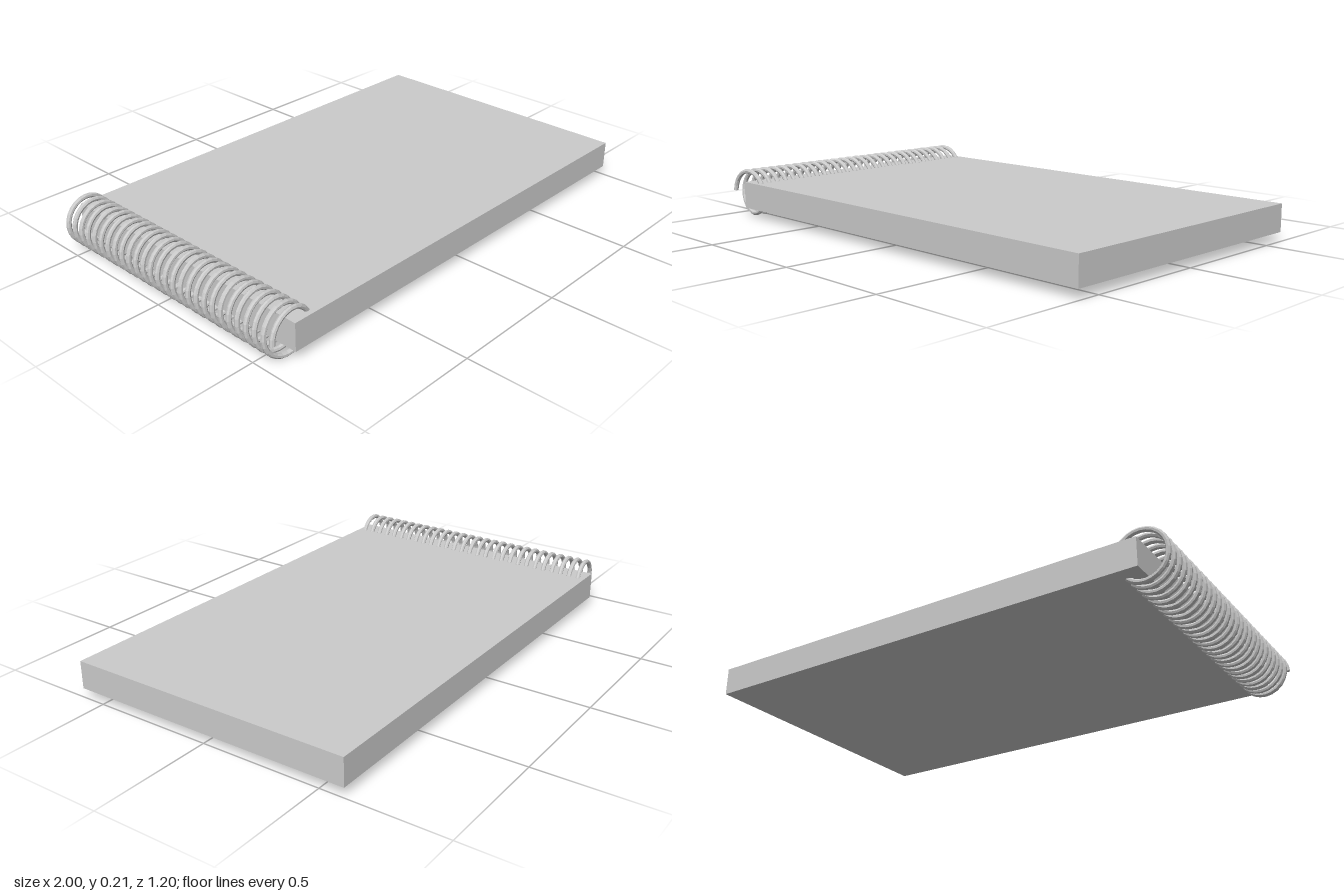
import * as THREE from 'three';

const COIL_X = -0.897, COIL_Y = 0.105, COIL_R = 0.093, WIRE_R = 0.01;
const TURNS = 27.5, Z_START = 0.588, Z_END = -0.572;

// Helix along z: starts on the outer side, passes over the top, ends on the page side
class Helix extends THREE.Curve {
  getPoint(t, target = new THREE.Vector3()) {
    const a = Math.PI - t * TURNS * Math.PI * 2;
    return target.set(
      COIL_X + COIL_R * Math.cos(a),
      COIL_Y + COIL_R * Math.sin(a),
      THREE.MathUtils.lerp(Z_START, Z_END, t)
    );
  }
}

export function createModel() {
  const group = new THREE.Group();
  group.name = 'spiralNotebook';
  const paper = new THREE.MeshStandardMaterial({ color: 0xcccccc });
  const wire = new THREE.MeshStandardMaterial({ color: 0xcccccc, flatShading: true });

  // Block of pages
  const pages = new THREE.Mesh(new THREE.BoxGeometry(1.898, 0.113, 1.2), paper);
  pages.name = 'pageBlock';
  pages.position.set(0.051, 0.0965, 0);
  group.add(pages);

  // Spiral wire binding
  const helix = new Helix();
  helix.arcLengthDivisions = 1200;
  const coil = new THREE.Mesh(new THREE.TubeGeometry(helix, Math.round(TURNS * 24), WIRE_R, 8, false), wire);
  coil.name = 'spiralBinding';
  group.add(coil);

  // Closed wire ends
  for (const t of [0, 1]) {
    const cap = new THREE.Mesh(new THREE.CircleGeometry(WIRE_R, 8), wire);
    cap.name = t ? 'wireEndBack' : 'wireEndFront';
    const outward = helix.getTangent(t).multiplyScalar(t ? 1 : -1);
    cap.position.copy(helix.getPoint(t));
    cap.quaternion.setFromUnitVectors(new THREE.Vector3(0, 0, 1), outward);
    group.add(cap);
  }
  return group;
}
